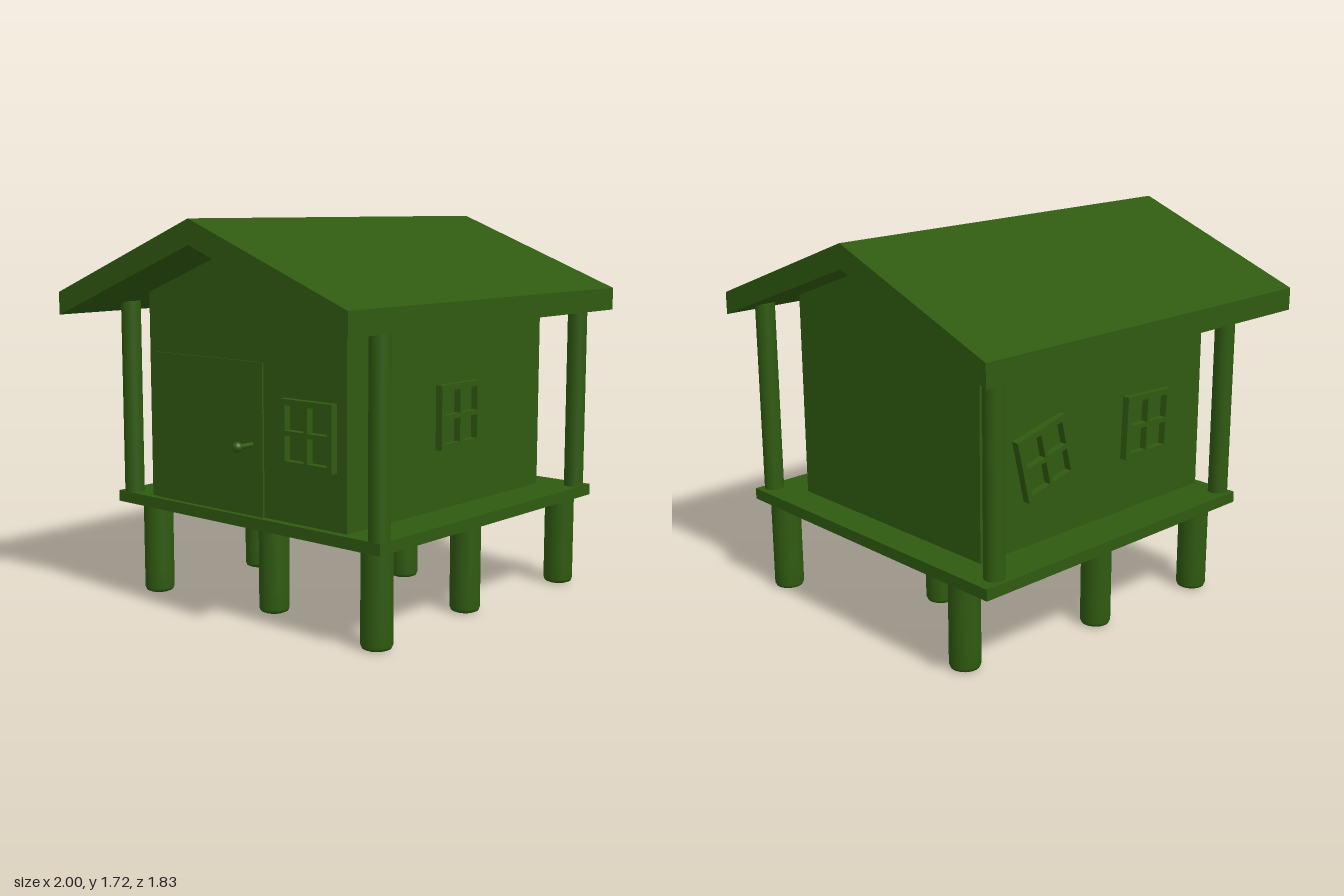
import * as THREE from 'three';

const material = new THREE.MeshStandardMaterial({ color: 0x2f5a10 });

function add(parent, geometry, name, x = 0, y = 0, z = 0) {
  const mesh = new THREE.Mesh(geometry, material);
  mesh.name = name;
  mesh.position.set(x, y, z);
  parent.add(mesh);
  return mesh;
}

// Closed outline in (z, y), extruded along x from x0 to x1
function extrudeAlongX(points, x0, x1) {
  const shape = new THREE.Shape(points.map(([z, y]) => new THREE.Vector2(z, y)));
  return new THREE.ExtrudeGeometry(shape, { depth: x1 - x0, bevelEnabled: false })
    .rotateY(Math.PI / 2).translate(x0, 0, 0);
}

function rectangle(target, x, y, w, h) {
  return target.moveTo(x, y).lineTo(x + w, y).lineTo(x + w, y + h).lineTo(x, y + h).closePath();
}

// Square frame with four panes, set flat on a wall
function windowGeometry() {
  const size = 0.28, pane = 0.105;
  const shape = rectangle(new THREE.Shape(), -size / 2, -size / 2, size, size);
  for (const x of [-0.115, 0.01]) {
    for (const y of [-0.115, 0.01]) shape.holes.push(rectangle(new THREE.Path(), x, y, pane, pane));
  }
  return new THREE.ExtrudeGeometry(shape, { depth: 0.035, bevelEnabled: false });
}

export function createModel() {
  const model = new THREE.Group();
  model.name = 'stiltHut';

  // Stilts with rounded ends
  const r = 0.067;
  const stilt = new THREE.LatheGeometry([
    [0, 0], [r - 0.02, 0], [r - 0.006, 0.006], [r, 0.02], [r, 0.1], [r, 0.43],
  ].map(([x, y]) => new THREE.Vector2(x, y)), 24);
  [[0.73, 0.733], [0.05, 0.63], [-0.613, 0.62], [0.382, 0.085],
    [-0.452, -0.04], [0.793, -0.447], [0.11, -0.593], [-0.5, -0.685],
  ].forEach(([x, z]) => add(model, stilt, 'stilt', x, 0, z));

  // Posts between floor and roof
  const post = new THREE.CylinderGeometry(0.044, 0.044, 0.88, 24);
  [[0.737, 0.8], [0.838, -0.65], [-0.69, 0.683], [-0.566, -0.768],
  ].forEach(([x, z]) => add(model, post, 'post', x, 0.9, z));

  // The hut itself stands slightly turned
  const hut = new THREE.Group();
  hut.name = 'hut';
  hut.rotation.y = -0.085;
  model.add(hut);

  add(hut, new THREE.BoxGeometry(1.547, 0.05, 1.556), 'floor', 0.102, 0.445, 0);

  // Walls with gable ends
  add(hut, extrudeAlongX([
    [-0.58, 0.47], [0.58, 0.47], [0.58, 1.386], [0, 1.61], [-0.58, 1.386],
  ], -0.638, 0.725), 'walls');

  // Pitched roof of even thickness
  add(hut, extrudeAlongX([
    [-0.84, 1.29], [0, 1.61], [0.84, 1.29], [0.84, 1.39], [0, 1.715], [-0.84, 1.39],
  ], -0.933, 0.933), 'roof');

  // Windows: position, turn towards the outside, roll
  const frame = windowGeometry();
  [[0.078, 0.873, 0.578, 0, 0],
    [0.38, 0.84, -0.578, Math.PI, 0.24],
    [-0.25, 0.85, -0.578, Math.PI, -0.04],
    [-0.636, 0.85, 0.387, -Math.PI / 2, 0],
  ].forEach(([x, y, z, turn, roll]) => {
    add(hut, frame, 'window', x, y, z).rotation.set(0, turn, roll);
  });

  // Door and its handle
  add(hut, new THREE.BoxGeometry(0.02, 0.655, 0.66), 'door', -0.637, 0.7975, -0.207);
  const stem = new THREE.CylinderGeometry(0.01, 0.01, 0.1, 16).rotateZ(Math.PI / 2);
  add(hut, stem, 'handleStem', -0.68, 0.775, 0.06);
  add(hut, new THREE.SphereGeometry(0.022, 20, 14), 'handleKnob', -0.731, 0.775, 0.06);

  return model;
}
